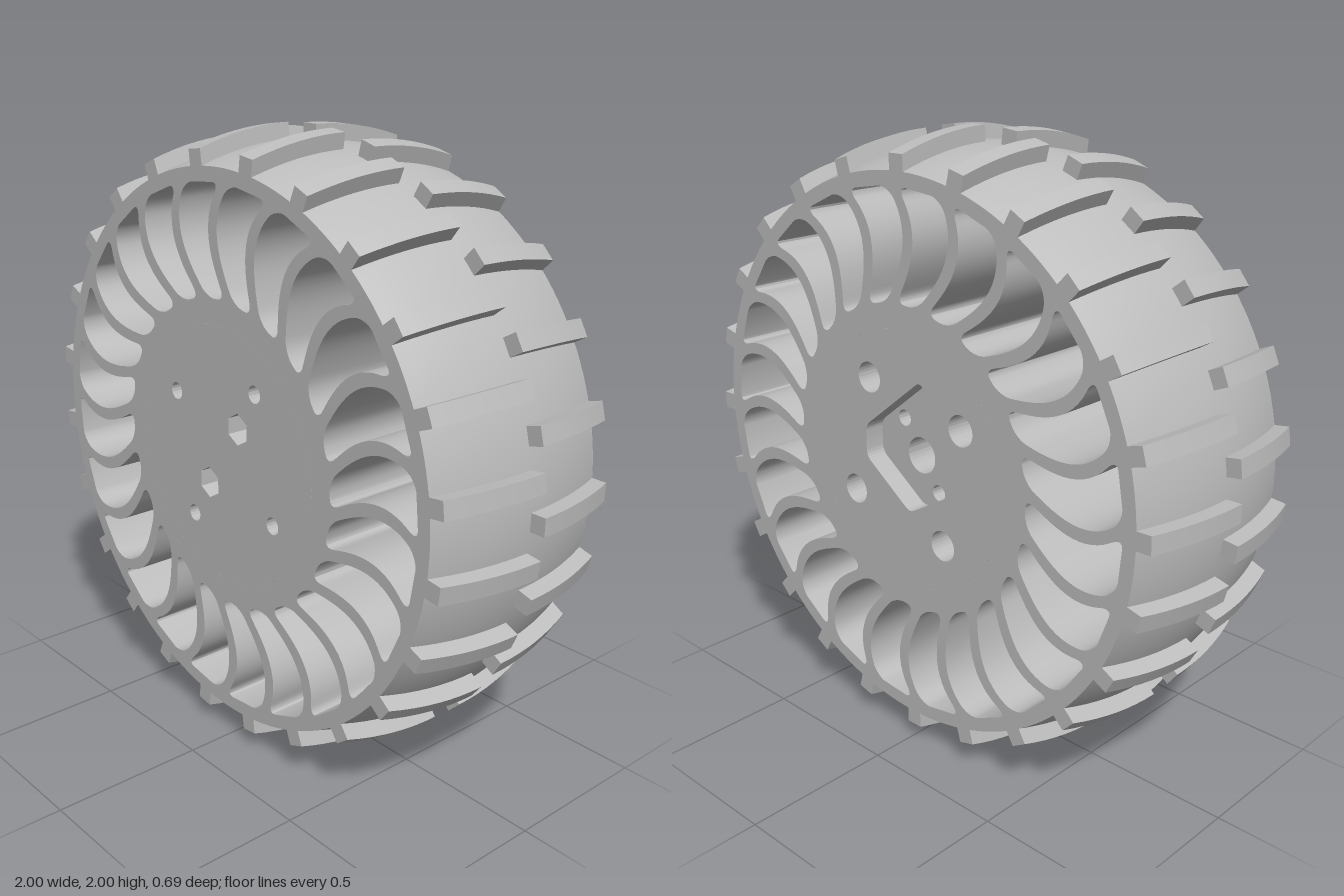
import * as THREE from 'three';
import { toCreasedNormals } from 'three/addons/utils/BufferGeometryUtils.js';

const COUNT = 24;               // spokes, and tread lugs on each side
const PITCH = (Math.PI * 2) / COUNT;
const HALF = 0.345;             // half of the wheel's width
const START = 0.016;            // clockwise offset of the first spoke and lug
const CORE = 0.42;              // radius of the layered hub centre
const BOLTS = [[0.16, 0.24], [-0.24, 0.16], [-0.16, -0.24], [0.24, -0.16]];
const SCREWS = [[0.075, 0.108], [-0.075, -0.108]];

export function createModel() {
  const rubber = new THREE.MeshStandardMaterial({ color: 0xbcbcbc });
  rubber.name = 'plain grey';
  const model = new THREE.Group();
  model.name = 'wheel';
  const wheel = new THREE.Group();
  wheel.name = 'wheelBody';
  wheel.position.y = 1;
  model.add(wheel);

  const add = (name, geometry) => {
    const mesh = new THREE.Mesh(geometry, rubber);
    mesh.name = name;
    wheel.add(mesh);
    return mesh;
  };
  const circle = (r, x = 0, y = 0) => new THREE.Path().absarc(x, y, r, 0, Math.PI * 2);
  const disc = (r) => new THREE.Shape().absarc(0, 0, r, 0, Math.PI * 2);
  const slab = (shape, z0, z1, segments) => {
    const g = new THREE.ExtrudeGeometry(shape, {
      depth: z1 - z0, bevelEnabled: false, curveSegments: segments,
    });
    g.translate(0, 0, z0);
    return toCreasedNormals(g, 0.5);
  };

  // Crowned tyre surface: an arc across the width
  const crown = (z, top) => top - 0.055 * (z / HALF) ** 2;
  const profile = [];
  for (let i = 0; i <= 16; i++) {
    const z = -HALF + (2 * HALF * i) / 16;
    profile.push(new THREE.Vector2(crown(z, 0.95), z));
  }
  const tyre = new THREE.LatheGeometry(profile, 96);
  tyre.rotateX(Math.PI / 2);
  add('tyreSurface', tyre);

  // Rim, curved spokes and outer hub: a disc pierced by rounded windows
  const spokeAngle = (r) => {   // clockwise lean of a spoke's centre line
    const t = (r - 0.675) / 0.17;
    return -0.055 + 0.1 * t * t - 0.026 * t;
  };
  const R0 = 0.5, R1 = 0.85;
  const edge = (r, side) => {
    const c = 0.036;
    const d = Math.min(r - R0, R1 - r);
    const corner = d < c ? c - Math.sqrt(Math.max(0, c * c - (c - d) ** 2)) : 0;
    return spokeAngle(r) + side * (0.021 + corner) / r;
  };
  const spider = disc(0.895);
  spider.holes.push(circle(CORE));
  for (let k = 0; k < COUNT; k++) {
    const points = [];
    const N = 22;
    for (const side of [1, -1]) {
      for (let i = 0; i <= N; i++) {
        const r = 0.675 - 0.175 * side * Math.cos((Math.PI * i) / N);
        const a = START + PITCH * (k + (side < 0 ? 1 : 0)) + edge(r, side);
        points.push(new THREE.Vector2(r * Math.sin(a), r * Math.cos(a)));
      }
    }
    spider.holes.push(new THREE.Path(points));
  }
  add('rimAndSpokes', slab(spider, -HALF, HALF, 96));

  // Hub centre in layers, so that recesses have different depths
  const hubLayer = (name, z0, z1, holes) => {
    const shape = disc(CORE);
    shape.holes.push(...holes);
    add(name, slab(shape, z0, z1, 48));
  };
  const bolts = (r) => BOLTS.map(([x, y]) => circle(r, x, y));
  const screws = (r) => SCREWS.map(([x, y]) => circle(r, x, y));
  const hexes = SCREWS.map(([x, y]) => {
    const points = [];
    for (let i = 0; i < 6; i++) {
      const a = (i * Math.PI) / 3 + Math.PI / 6;
      points.push(new THREE.Vector2(x + 0.052 * Math.cos(a), y + 0.052 * Math.sin(a)));
    }
    return new THREE.Path(points);
  });

  // Five-sided pocket with softened corners
  const corners = [[-0.07, 0.275], [-0.277, -0.015], [-0.015, -0.17], [0.183, -0.03], [0.183, 0.075]]
    .map(([x, y]) => new THREE.Vector2(x, y));
  const pocket = new THREE.Path();
  corners.forEach((p, i) => {
    const toward = (q) => p.clone().add(q.clone().sub(p).setLength(0.025));
    const a = toward(corners[(i + 4) % 5]);
    const b = toward(corners[(i + 1) % 5]);
    if (i === 0) pocket.moveTo(a.x, a.y);
    else pocket.lineTo(a.x, a.y);
    pocket.quadraticCurveTo(p.x, p.y, b.x, b.y);
  });
  pocket.closePath();

  hubLayer('hubFront', 0.22, HALF, [...bolts(0.028), ...hexes]);
  hubLayer('hubMiddle', -0.05, 0.22, [...bolts(0.05), ...screws(0.027)]);
  hubLayer('hubAxleBore', -0.275, -0.05, [...bolts(0.05), ...screws(0.027), circle(0.06)]);
  hubLayer('hubBackPocket', -HALF, -0.275, [...bolts(0.05), pocket]);

  // Tread lugs: each spans half the width, front and back rows are staggered
  const lugShape = new THREE.Shape();
  lugShape.moveTo(0, 0.93);
  lugShape.lineTo(HALF, 0.885);
  for (let i = 8; i >= 0; i--) {
    const z = (HALF * i) / 8;
    lugShape.lineTo(z, crown(z, 1));
  }
  lugShape.closePath();
  const lug = slab(lugShape, -0.029, 0.029, 1);
  lug.rotateY(-Math.PI / 2);
  const backLug = lug.clone().rotateY(Math.PI);
  for (let k = 0; k < COUNT; k++) {
    add('frontTreadLug', lug).rotation.z = -(START + PITCH * (k + 0.5));
    add('backTreadLug', backLug).rotation.z = -(START + PITCH * k);
  }
  return model;
}
